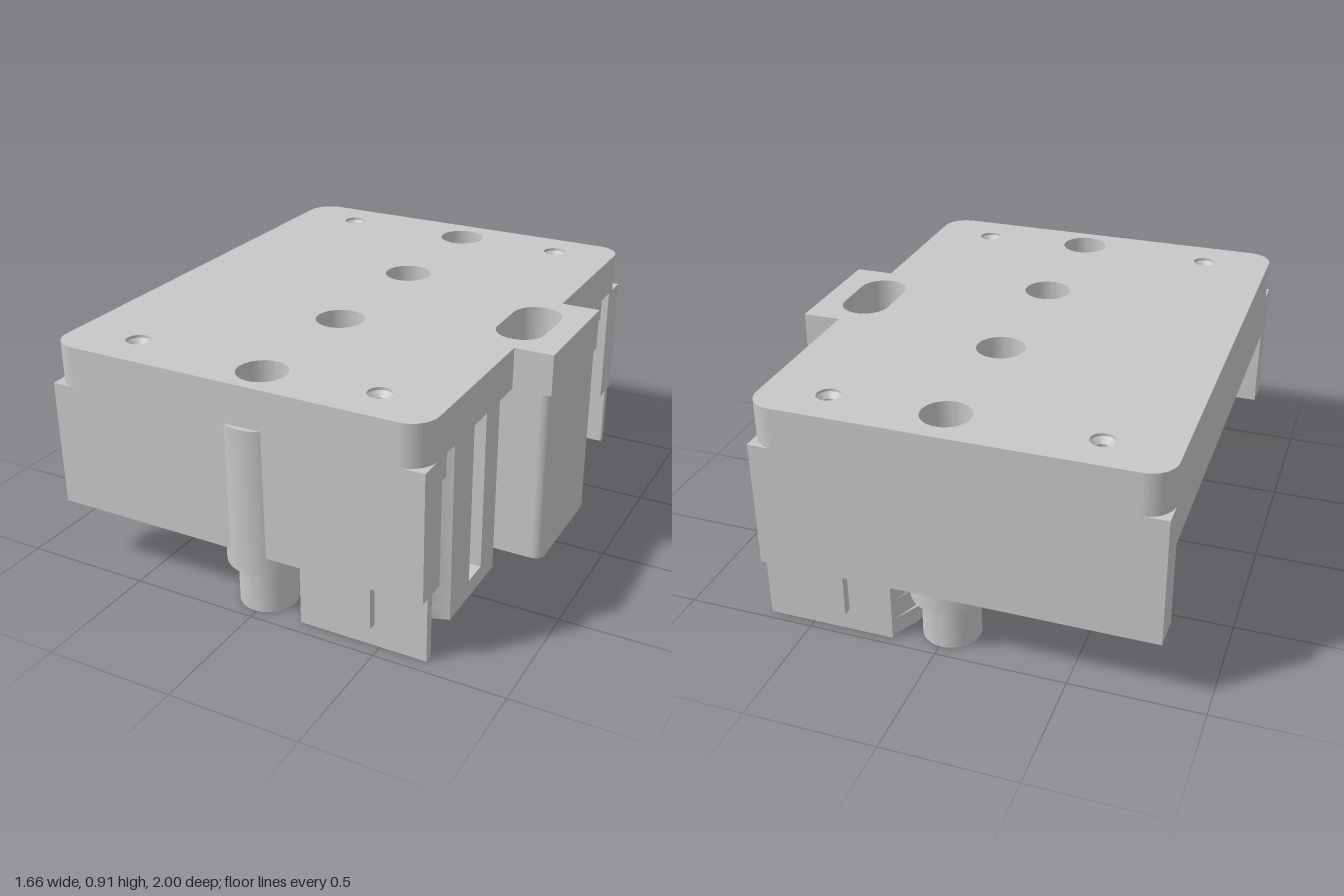
import * as THREE from 'three';
import { toCreasedNormals } from 'three/addons/utils/BufferGeometryUtils.js';

const steel = new THREE.MeshStandardMaterial({ color: 0xc8c8c8 });
steel.name = 'machinedSteel';

const BACK = -1, FRONT = 0.98, MID = -0.01;
const POST_X = -0.01;
const POST_Z = [-0.845, -0.29, 0.29, 0.85];

// Plan points are [x, z]; shapes are drawn with y = -z and raised along +y
const outline = (pts) => new THREE.Shape(pts.map(([x, z]) => new THREE.Vector2(x, -z)));

function roundHole(x, z, r) {
  const p = new THREE.Path();
  p.absarc(x, -z, r, 0, Math.PI * 2, true);
  return p;
}

function slotHole(x, half, r) {
  const p = new THREE.Path();
  p.absarc(x, half - r, r, 0, Math.PI, false);
  p.absarc(x, -(half - r), r, Math.PI, Math.PI * 2, false);
  p.closePath();
  return p;
}

// Plan points along an arc around (x, z), angles in degrees from +x towards +z
function arcPoints(x, z, r, from, to, steps = 10) {
  return Array.from({ length: steps + 1 }, (_, i) => {
    const a = THREE.MathUtils.degToRad(from + (to - from) * i / steps);
    return [x + r * Math.cos(a), z + r * Math.sin(a)];
  });
}

export function createModel() {
  const group = new THREE.Group();

  function add(name, geometry, x = 0, y = 0, z = 0) {
    const mesh = new THREE.Mesh(geometry, steel);
    mesh.name = name;
    mesh.position.set(x, y, z);
    group.add(mesh);
  }

  function raise(name, shape, y0, y1, holes = []) {
    shape.holes.push(...holes);
    const g = new THREE.ExtrudeGeometry(shape, { depth: y1 - y0, bevelEnabled: false, curveSegments: 20 });
    g.rotateX(-Math.PI / 2);
    add(name, toCreasedNormals(g, 0.5), 0, y0, 0);
  }

  function block(name, x0, x1, y0, y1, z0, z1) {
    add(name, new THREE.BoxGeometry(x1 - x0, y1 - y0, z1 - z0),
      (x0 + x1) / 2, (y0 + y1) / 2, (z0 + z1) / 2);
  }

  // Top plate with rounded corners and the side tab
  const r = 0.1, L = -0.83, R = 0.68, T = 0.83, h = 0.25;
  const plate = new THREE.Shape();
  plate.moveTo(L + r, -FRONT);
  plate.lineTo(R - r, -FRONT);
  plate.absarc(R - r, -FRONT + r, r, -Math.PI / 2, 0, false);
  plate.lineTo(R, -h);
  plate.lineTo(T, -h);
  plate.lineTo(T, h);
  plate.lineTo(R, h);
  plate.absarc(R - r, -BACK - r, r, 0, Math.PI / 2, false);
  plate.absarc(L + r, -BACK - r, r, Math.PI / 2, Math.PI, false);
  plate.absarc(L + r, -FRONT + r, r, Math.PI, Math.PI * 1.5, false);
  const screws = [];
  for (const x of [-0.56, 0.43]) for (const z of [-0.84, 0.81]) screws.push([x, z]);
  raise('topPlate', plate, 0.75, 0.91, [
    ...[-0.84, -0.29, 0.29, 0.84].map((z) => roundHole(POST_X, z, 0.093)),
    ...screws.map(([x, z]) => roundHole(x, z, 0.045)),
    slotHole(0.64, 0.175, 0.095),
  ]);

  // Countersunk screw sockets, profile from the rim down so they face inward
  const socket = [[0.045, 0.91], [0.045, 0.9], [0.026, 0.88], [0.026, 0.8], [0, 0.78]]
    .map(([a, b]) => new THREE.Vector2(a, b));
  const socketGeo = toCreasedNormals(new THREE.LatheGeometry(socket, 24), 0.5);
  screws.forEach(([x, z]) => add('screwSocket', socketGeo, x, 0, z));

  // Thick ceiling over the open left side
  block('ceilingSlab', L, 0.35, 0.58, 0.75, BACK, FRONT);

  // End walls, foot plates, keys and recess lugs, mirrored front to back
  for (const s of [1, -1]) {
    const span = (name, x0, x1, y0, y1, a, b) => {
      const za = MID + s * a, zb = MID + s * b;
      block(name, x0, x1, y0, y1, Math.min(za, zb), Math.max(za, zb));
    };
    span('endWall', L, R, 0.255, 0.75, 0.86, 0.99);
    span('endFootPlate', 0.18, R, 0, 0.255, 0.92, 0.955);
    span('endKey', 0.35, 0.48, 0.09, 0.255, 0.94, 0.99);
    span('recessLug', 0.55, 0.65, 0.62, 0.75, 0.76, 0.87);
  }

  // Central body: round end recesses, side grooves and clearance around the posts
  const rightSide = (grooved, inner, corner) => {
    const half = [[0.5, 0.94], [0.6, 0.92], ...arcPoints(0.64, 0.785, 0.095, 125, 235, 8), [0.65, 0.685]];
    if (grooved) half.push([0.65, 0.52], [0.56, 0.52], [0.56, 0.41], [0.65, 0.41]);
    half.push([0.65, 0.29], ...arcPoints(inner + corner, 0.26 - corner, corner, 90, 180, 6));
    return [...half, ...half.map(([x, z]) => [x, 2 * MID - z]).reverse()];
  };
  const leftSide = (edge, clear) => [
    [0.18, -0.94],
    ...arcPoints(POST_X, -0.845, clear, 0, 25, 3),
    [0.26, -0.74], [0.28, -0.66], [0.28, -0.46], [0.24, -0.4],
    ...arcPoints(POST_X, -0.29, clear, -10, 170, 14),
    [edge + 0.04, -0.32], [edge, -0.28], [edge, 0.28],
    [-0.16, 0.43], [0, 0.47], [0.2, 0.45], [0.28, 0.5], [0.28, 0.66], [0.26, 0.74],
    ...arcPoints(POST_X, 0.85, clear, -25, 0, 3),
    [0.18, 0.92],
  ];
  raise('bodyFoot', outline([...rightSide(false, 0.43, 0.09), ...leftSide(-0.3, 0.14)]), 0, 0.07,
    [roundHole(POST_X, 0.29, 0.14)]);
  raise('bodyShoulder', outline([...rightSide(true, 0.51, 0.02), ...leftSide(-0.3, 0.15)]), 0.07, 0.15,
    [roundHole(POST_X, 0.29, 0.15)]);
  raise('body', outline([...rightSide(true, 0.51, 0.02), ...leftSide(-0.275, 0.155)]), 0.15, 0.75);
  block('bodyFlange', -0.35, -0.26, 0.17, 0.6, -0.26, 0.26);

  // Side tab with rounded outer edges, bolt slot and blind holes beneath
  const tabShape = () => {
    const t = new THREE.Shape(), q = 0.04;
    t.moveTo(0.42, -h);
    t.lineTo(T - q, -h);
    t.absarc(T - q, -h + q, q, -Math.PI / 2, 0, false);
    t.absarc(T - q, h - q, q, 0, Math.PI / 2, false);
    t.lineTo(0.42, h);
    return t;
  };
  raise('sideTab', tabShape(), 0.2, 0.75, [slotHole(0.64, 0.175, 0.095)]);
  raise('sideTabCore', tabShape(), 0.14, 0.2);
  raise('sideTabFloor', tabShape(), 0.06, 0.14, [-0.09, 0.09].map((z) => roundHole(0.61, z, 0.028)));

  // Guide posts with wide collars and bored tips
  POST_Z.forEach((z) => {
    add('postCollar', new THREE.CylinderGeometry(0.15, 0.15, 0.575, 40), POST_X, 0.4675, z);
    const tip = new THREE.Shape();
    tip.absarc(POST_X, -z, 0.11, 0, Math.PI * 2, false);
    raise('postTip', tip, 0, 0.19, [roundHole(POST_X, z, 0.035)]);
  });

  return group;
}
